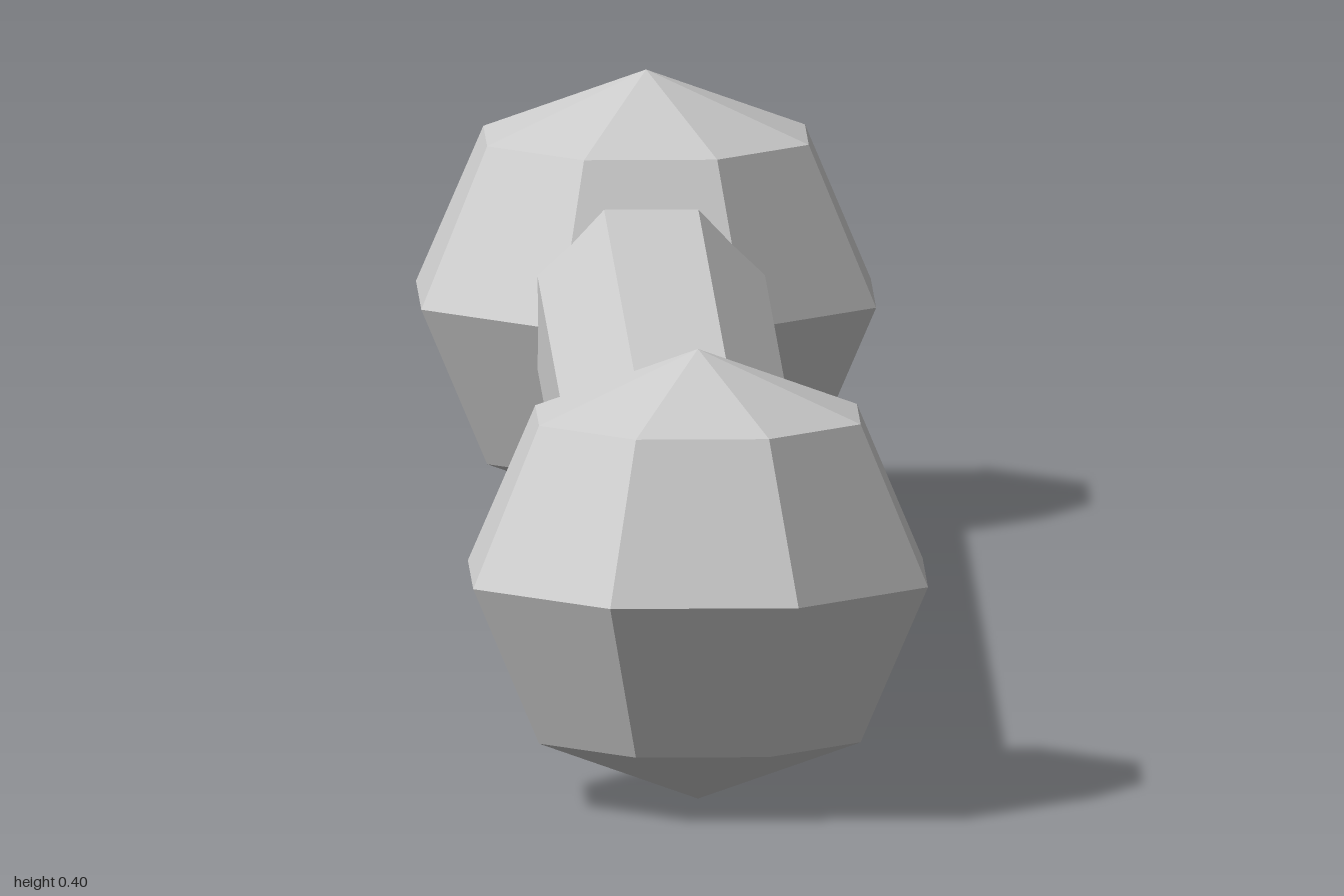
import * as THREE from 'three';

export function createModel() {
  const group = new THREE.Group();
  const material = new THREE.MeshStandardMaterial({ color: 0xcccccc, flatShading: true });
  const turn = Math.PI / 8; // puts the flats of the octagons on the axes
  const widen = 1 / Math.cos(turn); // flat-to-flat radius to corner radius

  // Octagonal bar along z, its ends sunk into the balls
  const barGeometry = new THREE.CylinderGeometry(0.1 * widen, 0.1 * widen, 1.6, 8);
  barGeometry.rotateY(turn).rotateX(Math.PI / 2);
  const bar = new THREE.Mesh(barGeometry, material);
  bar.name = 'bar';
  bar.position.y = 0.2;
  group.add(bar);

  // Faceted ball at each end
  const ballGeometry = new THREE.SphereGeometry(0.2, 8, 4);
  ballGeometry.rotateY(turn).scale(widen, 1, widen);
  for (const [name, z] of [['frontBall', 0.8], ['backBall', -0.8]]) {
    const ball = new THREE.Mesh(ballGeometry, material);
    ball.name = name;
    ball.position.set(0, 0.2, z);
    group.add(ball);
  }
  return group;
}
